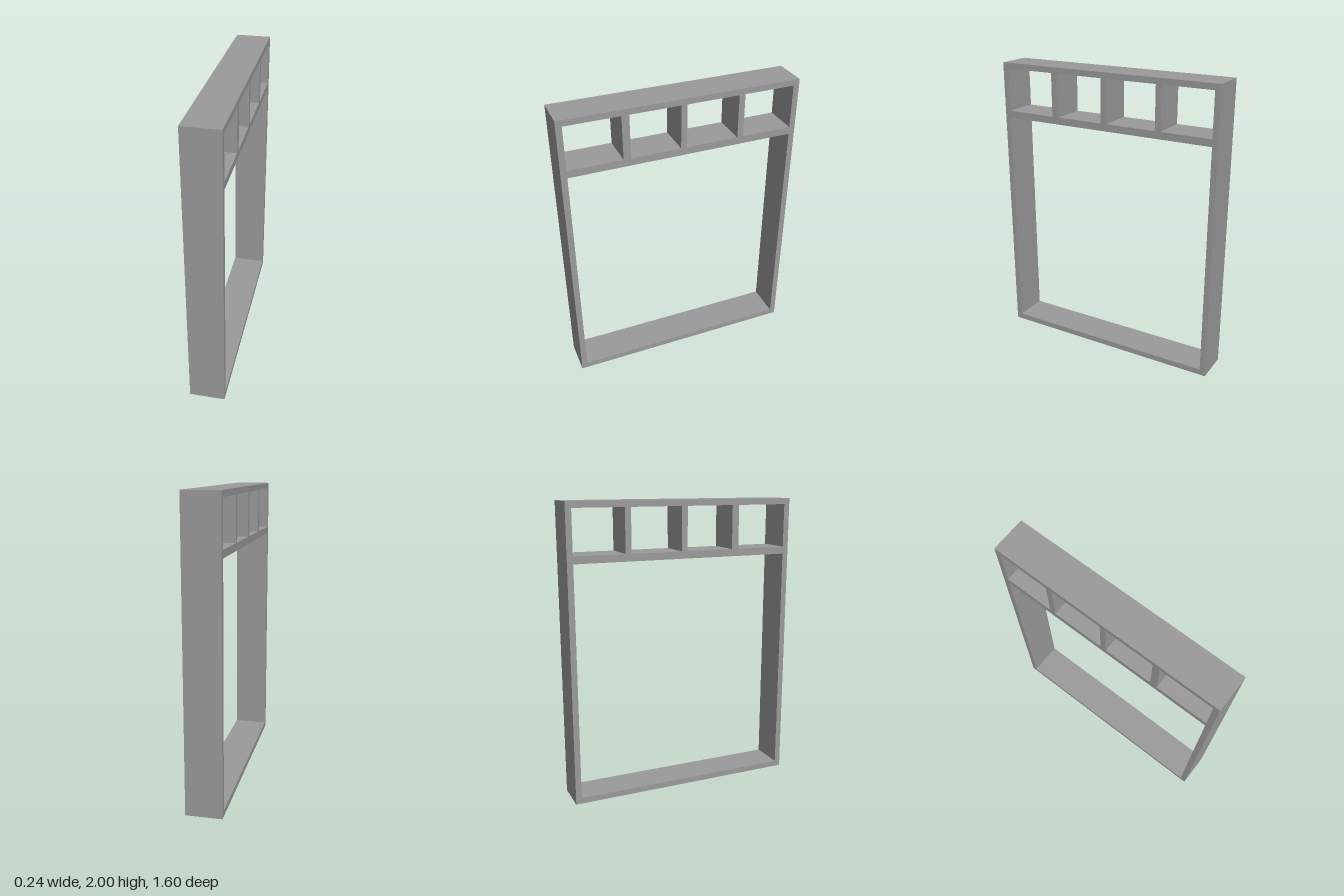
import * as THREE from 'three';

const DEPTH = 0.24;     // x extent
const HEIGHT = 2;
const HALF = 0.8;       // half of the z extent
const T = 0.04;         // board thickness

export function createModel() {
  const group = new THREE.Group();
  group.name = 'shelfFrame';
  const material = new THREE.MeshStandardMaterial({ color: 0x9b9b9b });

  // Full-depth board spanning y0..y1 and z0..z1
  function board(name, y0, y1, z0, z1) {
    const mesh = new THREE.Mesh(new THREE.BoxGeometry(DEPTH, y1 - y0, z1 - z0), material);
    mesh.position.set(0, (y0 + y1) / 2, (z0 + z1) / 2);
    mesh.name = name;
    group.add(mesh);
  }

  // Outer frame
  board('frontPost', 0, HEIGHT, HALF - T, HALF);
  board('backPost', 0, HEIGHT, -HALF, -HALF + T);
  board('bottomBoard', 0, T, -HALF + T, HALF - T);
  board('topBoard', HEIGHT - T, HEIGHT, -HALF + T, HALF - T);

  // Shelf under the row of compartments
  const shelfTop = 1.666;
  board('shelf', 1.617, shelfTop, -HALF + T, HALF - T);

  // Dividers between the four compartments
  [[0.353, 0.402], [-0.02, 0.02], [-0.415, -0.374]].forEach(([z0, z1], i) =>
    board(`divider${i + 1}`, shelfTop, HEIGHT - T, z0, z1));

  return group;
}
